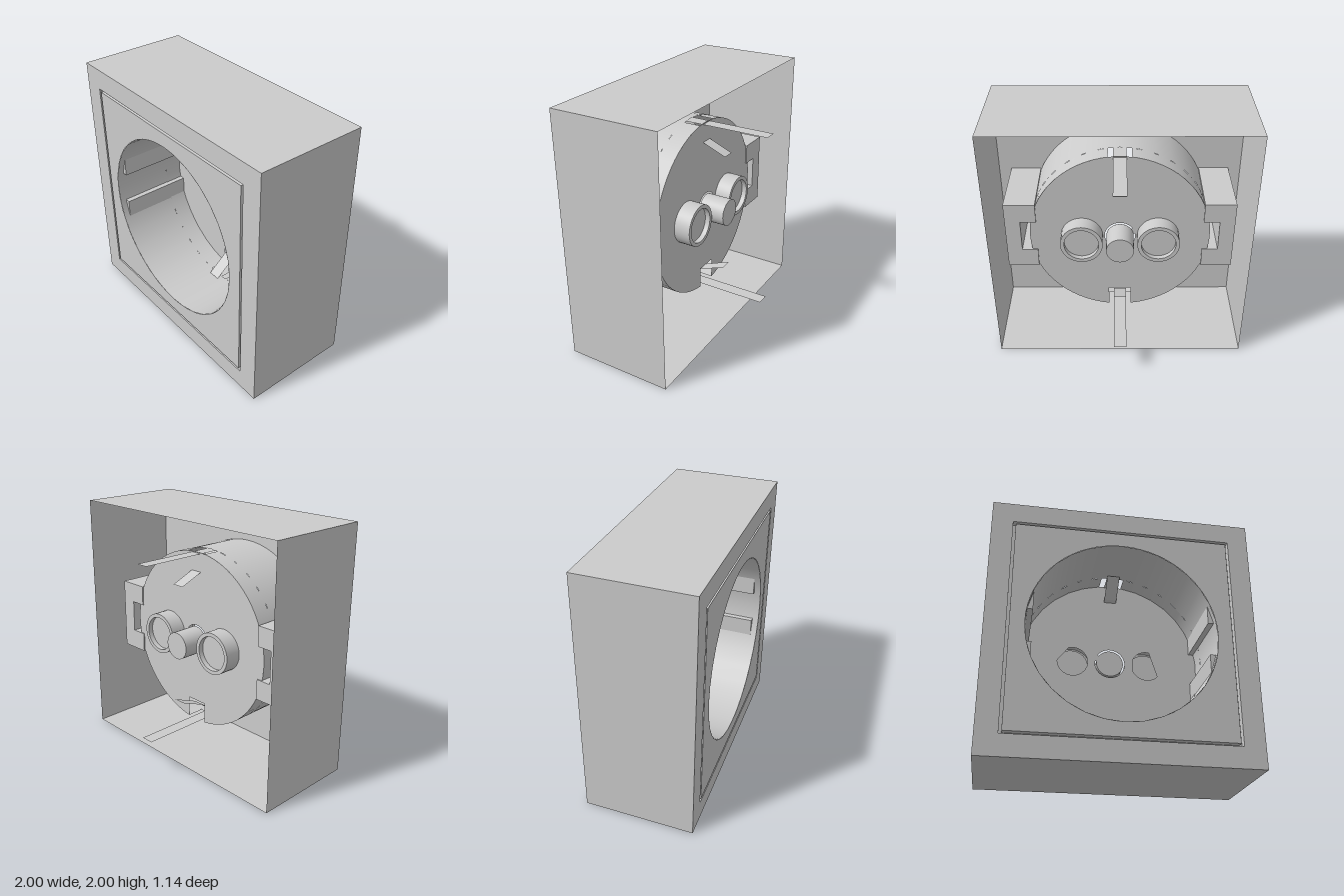
import * as THREE from 'three';
import { toCreasedNormals } from 'three/addons/utils/BufferGeometryUtils.js';

const FRONT = 0.57, BACK = -0.29, PLATE = 0.52, FLOOR = -0.04, R = 0.71;

export function createModel() {
  const model = new THREE.Group();
  const mat = new THREE.MeshStandardMaterial({ color: 0xcccccc, side: THREE.DoubleSide });
  const flat = mat.clone();
  flat.flatShading = true;

  const add = (name, geometry, material = mat) => {
    const mesh = new THREE.Mesh(geometry, material);
    mesh.name = name;
    mesh.position.y = 1;
    model.add(mesh);
    return mesh;
  };
  const poly = (Type, pts) => new Type(pts.map(p => new THREE.Vector2(...p)));
  const square = (Type, s) => poly(Type, [[-s, -s], [s, -s], [s, s], [-s, s]]);
  const circle = () => new THREE.Path().absarc(0, 0, R, 0, Math.PI * 2, true);
  // flat sheet facing the front
  const sheet = (name, shape, z, holes = []) => {
    shape.holes.push(...holes);
    return add(name, new THREE.ShapeGeometry(shape, 32).translate(0, 0, z), flat);
  };
  // open tube along z; angle 0 is at the bottom, PI at the top
  const tube = (name, r, z0, z1, sides = 32, start = 0, sweep = Math.PI * 2) =>
    add(name, new THREE.CylinderGeometry(r, r, z1 - z0, sides, 1, true, start, sweep)
      .rotateX(Math.PI / 2).translate(0, 0, (z0 + z1) / 2), sides === 4 ? flat : mat);
  const squareTube = (name, s, z0, z1) => tube(name, s * Math.SQRT2, z0, z1, 4, Math.PI / 4);

  // Housing, front cover and the groove between them
  squareTube('housingWalls', 1, BACK, FRONT);
  sheet('frontFrame', square(THREE.Shape, 1), FRONT, [square(THREE.Path, 0.84)]);
  sheet('frontCover', square(THREE.Shape, 0.82), FRONT, [circle()]);
  sheet('coverBack', square(THREE.Shape, 1), PLATE, [circle()]);
  squareTube('grooveOuterWall', 0.84, PLATE, FRONT);
  squareTube('grooveInnerWall', 0.82, PLATE, FRONT);

  // Round recess, with openings for the contacts at top and bottom
  const gap = Math.asin(0.09 / R);
  tube('recessWall', R, 0.1, FRONT);
  for (const start of [0, Math.PI])
    tube('recessRearWall', R, FLOOR, 0.1, 15, start + gap, Math.PI - 2 * gap);

  // Recess floor with bottom notch, pin holes and a C-shaped slot
  const floor = new THREE.Shape();
  floor.absarc(0, 0, R, -Math.PI / 2 + gap, Math.PI * 1.5 - gap, false);
  floor.lineTo(-0.09, -0.535);
  floor.lineTo(0.09, -0.535);
  floor.closePath();
  const deg = Math.PI / 180;
  const pinHole = (x, arcs) => {
    const pts = [];
    for (const [a, b] of arcs)
      for (let i = 0; i <= 16; i++) {
        const t = (a + (b - a) * i / 16) * deg;
        pts.push([x + 0.122 * Math.cos(t), 0.122 * Math.sin(t)]);
      }
    return poly(THREE.Path, pts);
  };
  const slot = new THREE.Path();
  slot.absarc(0, 0, 0.12, 172 * deg, 505 * deg, false);
  slot.absarc(0, 0, 0.107, 505 * deg, 172 * deg, true);
  slot.closePath();
  sheet('recessFloor', floor, FLOOR, [
    pinHole(-0.3, [[-180, 105]]),
    pinHole(0.3, [[80, 155], [207, 315]]),
    slot
  ]);

  // Pin sockets and centre stud behind the floor
  const lathe = pts => toCreasedNormals(
    new THREE.LatheGeometry(pts.map(p => new THREE.Vector2(...p)), 32).rotateX(Math.PI / 2), 0.6);
  for (const x of [-0.3, 0.3])
    add('pinSocket', lathe([[0.165, FLOOR], [0.165, -0.17], [0.135, -0.17],
      [0.135, -0.13], [0, -0.13]])).position.x = x;
  add('centreStud', lathe([[0.107, FLOOR], [0.107, -0.25], [0, -0.25]]));

  // Notched guide blocks on both sides
  for (const s of [1, -1]) {
    const block = poly(THREE.Shape, [[0.655, 0.29], [0.655, 0.13], [0.78, 0.13], [0.78, -0.13],
      [0.655, -0.13], [0.655, -0.29], [0.9, -0.29], [0.9, 0.29]].map(([x, y]) => [s * x, y]));
    add('guideBlock', new THREE.ExtrudeGeometry(block, { depth: PLATE + 0.05, bevelEnabled: false })
      .translate(0, 0, -0.05), flat);
  }

  // Folded earth contacts, as thin strips: each point is [z, distance from centre]
  const fold = [[-0.57, 0.7], [0.15, 0.7], [-0.01, 0.57], [-0.23, 0.48]];
  for (const s of [1, -1]) {
    const strip = new THREE.PlaneGeometry(0.1, 1, 1, fold.length - 1);
    const pos = strip.attributes.position;
    for (let i = 0; i < pos.count; i++) {
      const [z, d] = fold[i >> 1];
      pos.setXYZ(i, pos.getX(i), s * d, z);
    }
    add('earthContact', strip, flat);
  }
  return model;
}
